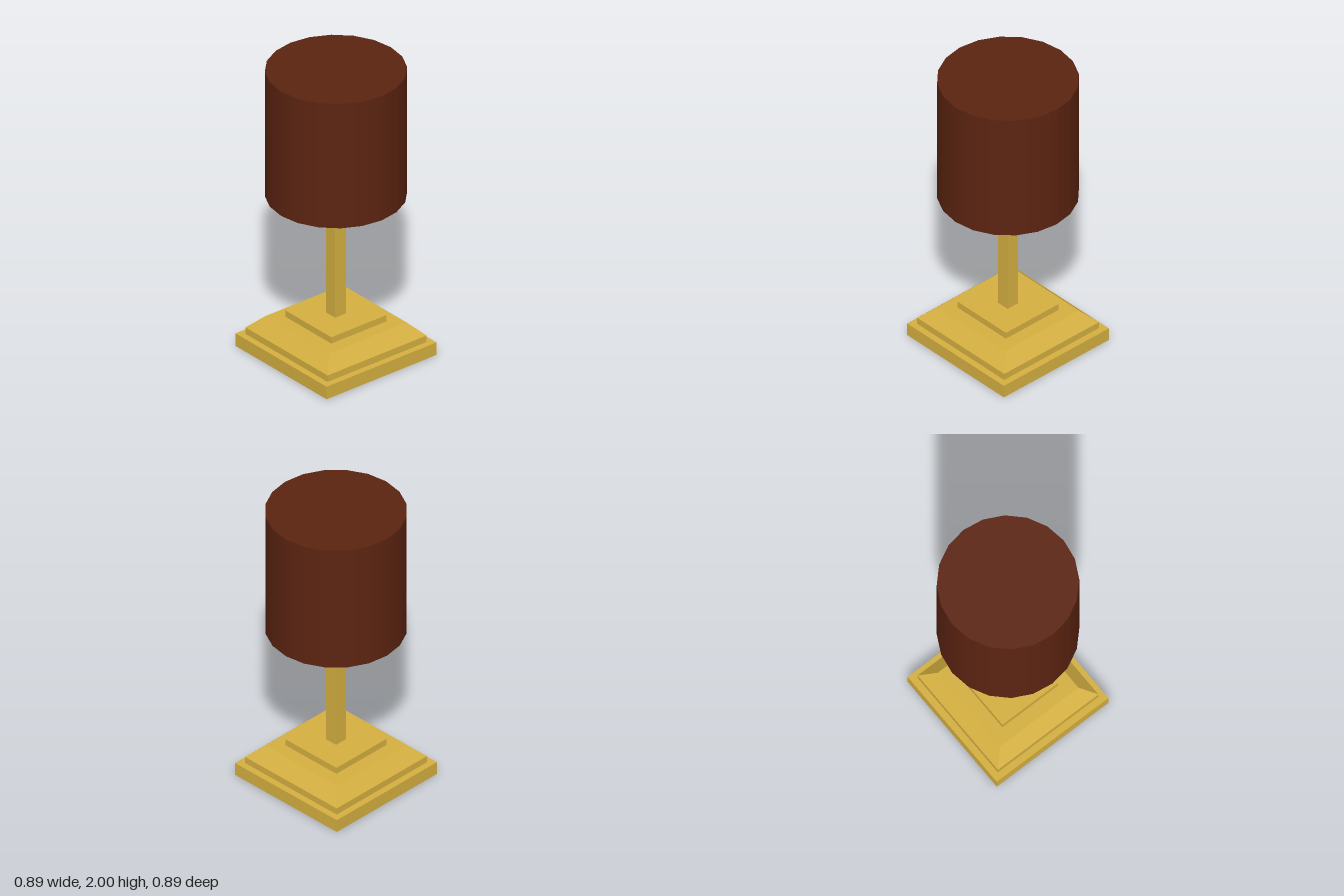
import * as THREE from 'three';

export function createModel() {
  const model = new THREE.Group();
  model.name = 'tableLamp';

  const gold = new THREE.MeshStandardMaterial({ color: 0xd4af40 });
  gold.name = 'gold';
  const brown = new THREE.MeshStandardMaterial({ color: 0x5c2411 });
  brown.name = 'dark brown';

  function add(name, geometry, material, bottom, top) {
    const mesh = new THREE.Mesh(geometry, material);
    mesh.name = name;
    mesh.position.y = (bottom + top) / 2;
    model.add(mesh);
  }

  // Square block between two heights
  function block(name, width, bottom, top) {
    add(name, new THREE.BoxGeometry(width, top - bottom, width), gold, bottom, top);
  }

  // Stepped square foot
  block('footPlinth', 0.888, 0, 0.089);
  block('footStep', 0.8, 0.089, 0.135);

  // Sloped tier: a box whose top face is drawn inwards
  const slope = new THREE.BoxGeometry(0.8, 0.087, 0.8);
  const p = slope.attributes.position;
  for (let i = 0; i < p.count; i++) {
    if (p.getY(i) > 0) p.setXYZ(i, p.getX(i) * 0.778, p.getY(i), p.getZ(i) * 0.778);
  }
  slope.computeVertexNormals();
  add('footSlope', slope, gold, 0.135, 0.222);

  block('footCap', 0.444, 0.222, 0.267);

  // Square post
  block('post', 0.089, 0.267, 1.115);

  // Closed drum shade
  add('shade', new THREE.CylinderGeometry(0.444, 0.444, 0.885, 20), brown, 1.115, 2);

  return model;
}
